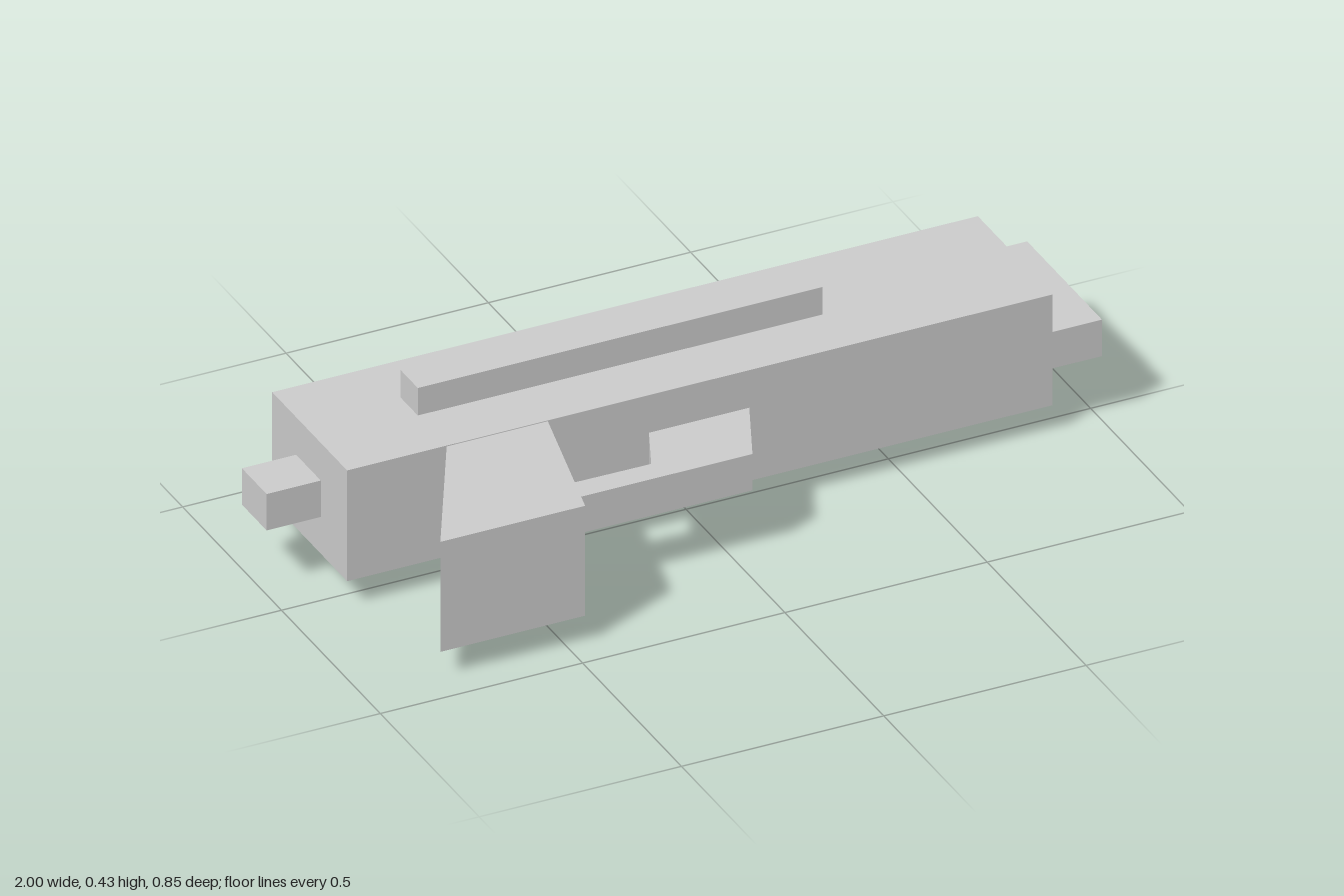
import * as THREE from 'three';

const material = new THREE.MeshStandardMaterial({ color: 0xcccccc, flatShading: true });

export function createModel() {
  const group = new THREE.Group();
  group.name = 'blockBlaster';

  const add = (name, geometry) => {
    const mesh = new THREE.Mesh(geometry, material);
    mesh.name = name;
    group.add(mesh);
  };

  // Box given by its extents along each axis
  const box = (name, [x0, x1], [y0, y1], [z0, z1]) => {
    const geometry = new THREE.BoxGeometry(x1 - x0, y1 - y0, z1 - z0);
    geometry.translate((x0 + x1) / 2, (y0 + y1) / 2, (z0 + z1) / 2);
    add(name, geometry);
  };

  // Flat outline in x and z, extruded upward between two heights
  const slab = (name, outline, [y0, y1]) => {
    const shape = new THREE.Shape(outline.map(([x, z]) => new THREE.Vector2(x, z)));
    const geometry = new THREE.ExtrudeGeometry(shape, { depth: y1 - y0, bevelEnabled: false });
    geometry.rotateX(Math.PI / 2).translate(0, y1, 0);
    add(name, geometry);
  };

  const thick = [0.071, 0.357];
  const thin = [0.166, 0.26];

  // Main body with the narrower muzzle and rear block
  box('body', [-0.866, 0.878], thick, [-0.321, 0.058]);
  box('muzzle', [0.878, 1], thin, [-0.321, 0.058]);
  box('rearBlock', [-1, -0.866], thin, [-0.2, -0.075]);
  box('sight', [0.38, 0.628], thin, [-0.425, -0.321]);

  // Matching rails on both broad faces
  const railSides = { lowerRail: [0, thick[0]], upperRail: [thick[1], 0.428] };
  for (const [name, heights] of Object.entries(railSides)) {
    box(name, [-0.62, 0.38], heights, [-0.175, -0.088]);
  }

  // Slanted grip and the guard that reaches it
  slab('grip', [[-0.62, 0.058], [-0.37, 0.058], [-0.457, 0.425], [-0.815, 0.425]], [0.071, 0.355]);
  slab('triggerGuard', [
    [-0.12, 0.058], [0.128, 0.058], [0.046, 0.242],
    [-0.414, 0.242], [-0.4, 0.179], [-0.175, 0.182],
  ], thin);

  return group;
}
